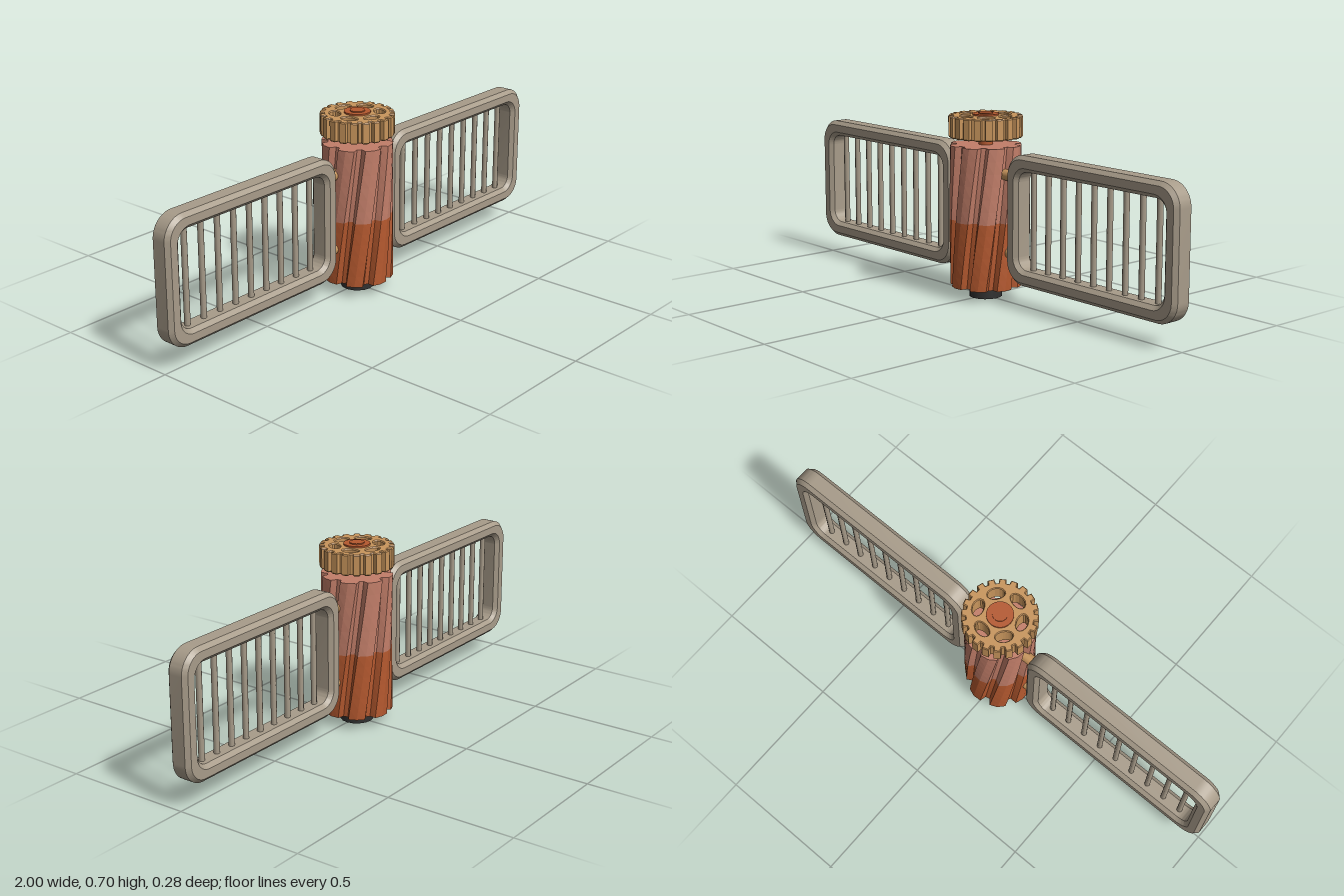
import * as THREE from 'three';
import { toCreasedNormals } from 'three/addons/utils/BufferGeometryUtils.js';

const material = (name, color) => {
  const m = new THREE.MeshStandardMaterial({ color });
  m.name = name;
  return m;
};

// Closed rounded rectangle centred on the origin
function roundedRect(w, h, r, Type = THREE.Shape) {
  const s = new Type(), x = w / 2, y = h / 2;
  s.absarc(x - r, y - r, r, 0, Math.PI / 2);
  s.absarc(-x + r, y - r, r, Math.PI / 2, Math.PI);
  s.absarc(-x + r, -y + r, r, Math.PI, Math.PI * 1.5);
  s.absarc(x - r, -y + r, r, Math.PI * 1.5, Math.PI * 2);
  s.closePath();
  return s;
}

// Toothed outline from a repeated list of [fraction of pitch, radius]
function toothedShape(count, profile, phase = 0) {
  const pts = [];
  for (let i = 0; i < count; i++) {
    for (const [f, r] of profile) {
      const a = ((i + f) / count) * Math.PI * 2 + phase;
      pts.push(new THREE.Vector2(Math.cos(a) * r, Math.sin(a) * r));
    }
  }
  return new THREE.Shape(pts);
}

export function createModel() {
  const model = new THREE.Group();
  const terracotta = material('terracotta', 0xb5592f);
  const rose = material('dustyRose', 0xc27e69);
  const tan = material('tanWood', 0xc8955c);
  const stone = material('warmGrey', 0xa89c8a);
  const black = material('charcoal', 0x303030);

  const add = (name, geo, mat, x = 0, y = 0, z = 0, parent = model) => {
    const mesh = new THREE.Mesh(geo, mat);
    mesh.name = name;
    mesh.position.set(x, y, z);
    parent.add(mesh);
    return mesh;
  };
  const rod = (name, r0, r1, y0, y1, mat, sides = 24) =>
    add(name, new THREE.CylinderGeometry(r1, r0, y1 - y0, sides), mat, 0, (y0 + y1) / 2);

  // Fluted body, twisted as it rises, in two colours
  const flutes = toothedShape(8,
    [[-0.3, 0.134], [0, 0.137], [0.3, 0.134], [0.4, 0.11], [0.6, 0.11]], Math.PI / 8 - 0.55);
  const bodyPart = (name, y0, y1, mat) => {
    const geo = new THREE.ExtrudeGeometry(flutes, { depth: y1 - y0, steps: 6, bevelEnabled: false });
    geo.rotateX(-Math.PI / 2).translate(0, y0, 0);
    const p = geo.attributes.position, v = new THREE.Vector3(), up = new THREE.Vector3(0, 1, 0);
    for (let i = 0; i < p.count; i++) {
      v.fromBufferAttribute(p, i);
      v.applyAxisAngle(up, ((v.y - 0.045) / 0.54) * 0.55);
      p.setXYZ(i, v.x, v.y, v.z);
    }
    geo.computeVertexNormals();
    add(name, geo, mat);
  };
  bodyPart('lowerBody', 0.045, 0.3, terracotta);
  bodyPart('upperBody', 0.3, 0.585, rose);

  // Plug below, axle and cap above
  rod('basePlug', 0.063, 0.063, 0, 0.05, black, 16);
  rod('axle', 0.028, 0.028, 0.58, 0.705, terracotta);
  rod('axleCap', 0.05, 0.05, 0.68, 0.701, terracotta);

  // Gear wheel with six kidney-shaped windows and a dished underside
  const gearShape = toothedShape(20,
    [[-0.28, 0.14], [0.28, 0.14], [0.36, 0.124], [0.64, 0.124]]);
  for (let i = 0; i < 6; i++) {
    const a = (i / 6) * Math.PI * 2 + 0.35;
    const pts = [];
    for (let k = 0; k < 16; k++) {
      const t = (k / 16) * Math.PI * 2;
      const r = 0.084 + 0.02 * Math.sin(t), b = a - 0.38 * Math.cos(t);
      pts.push(new THREE.Vector2(Math.cos(b) * r, Math.sin(b) * r));
    }
    gearShape.holes.push(new THREE.Path(pts));
  }
  const gearGeo = new THREE.ExtrudeGeometry(gearShape, {
    depth: 0.079, bevelThickness: 0.004, bevelSize: 0.003, bevelOffset: -0.003, bevelSegments: 1,
  });
  gearGeo.rotateX(-Math.PI / 2).translate(0, 0.612, 0);
  const gp = gearGeo.attributes.position;
  for (let i = 0; i < gp.count; i++) {
    if (gp.getY(i) > 0.65) continue;
    const r = Math.hypot(gp.getX(i), gp.getZ(i));
    gp.setY(i, gp.getY(i) - 0.004 + 0.01 * THREE.MathUtils.smoothstep(r, 0.06, 0.135));
  }
  gearGeo.computeVertexNormals();
  add('gearWheel', gearGeo, tan);

  // Barred side panels, each held by two pegs
  const frameShape = roundedRect(0.845, 0.488, 0.085);
  frameShape.holes.push(roundedRect(0.725, 0.368, 0.045, THREE.Path));
  const frameGeo = toCreasedNormals(new THREE.ExtrudeGeometry(frameShape, {
    depth: 0.055, curveSegments: 8,
    bevelThickness: 0.015, bevelSize: 0.015, bevelOffset: -0.015, bevelSegments: 1,
  }).translate(0, 0, -0.0275), 0.5);
  const barGeo = new THREE.CylinderGeometry(0.011, 0.011, 0.4, 8);
  const pegGeo = new THREE.CylinderGeometry(0.021, 0.021, 0.09, 16).rotateZ(Math.PI / 2);
  for (const side of [1, -1]) {
    const panel = new THREE.Group();
    panel.name = side > 0 ? 'leftPanel' : 'rightPanel';
    panel.position.set(side * 0.5775, 0.331, 0);
    model.add(panel);
    add('frame', frameGeo, stone, 0, 0, 0, panel);
    for (let i = -4; i <= 4; i++) add('bar', barGeo, stone, i * 0.0775, 0, 0, panel);
    for (const y of [0.19, 0.483]) add('peg', pegGeo, tan, side * 0.13, y, 0);
  }
  return model;
}
